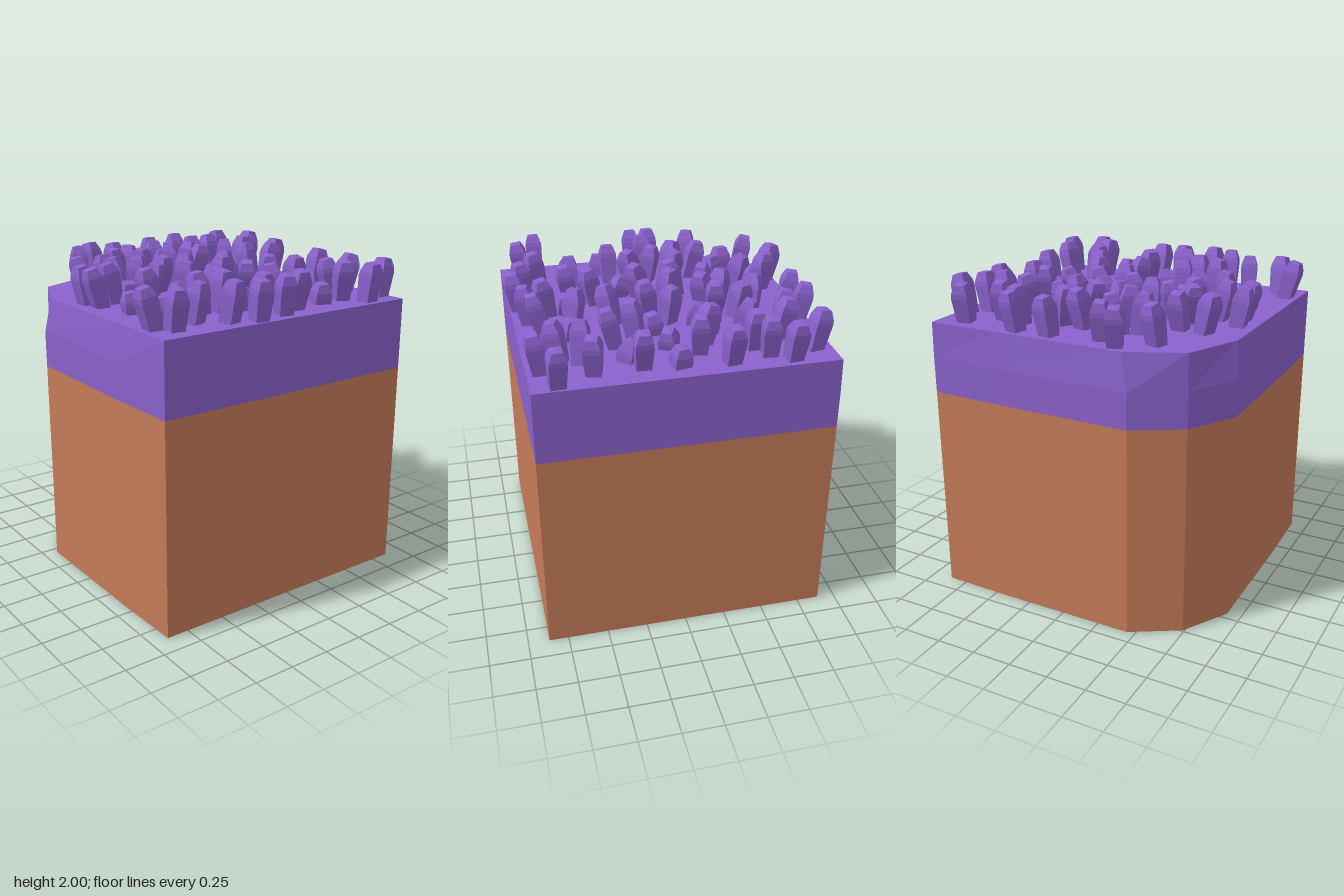
import * as THREE from 'three';

const soilMat = new THREE.MeshStandardMaterial({ color: 0xc47a58 });
soilMat.name = 'terracotta soil';
const purpleMat = new THREE.MeshStandardMaterial({ color: 0x8a62cc });
purpleMat.name = 'crystal purple';

// Block outline as [x, z]; one back corner is rounded off
const OUTLINE = [[-0.89, 0.87], [0.87, 0.87], [0.87, -0.89], [0.42, -0.905],
  [-0.45, -0.91], [-0.74, -0.74], [-0.91, -0.45], [-0.905, 0.42]];
// Slightly drawn-in outline of the top surface
const RIM = [[-0.89, 0.87], [0.87, 0.87], [0.87, -0.885], [0.42, -0.885],
  [-0.4, -0.885], [-0.735, -0.735], [-0.885, -0.4], [-0.885, 0.42]];

// Footprint centres of the crystals as x, z pairs
const SPOTS = [
  -0.34, -0.84, -0.51, -0.71, -0.21, -0.76, -0.21, -0.59, 0.11, -0.82, 0.33, -0.83, 0.69, -0.8, 0.38, -0.69,
  0.51, -0.66, 0.82, -0.62, 0.01, -0.61, 0.13, -0.58, 0.2, -0.48, -0.35, -0.52, -0.69, -0.37, -0.51, -0.38,
  -0.21, -0.42, -0.12, -0.33, 0.02, -0.4, 0.02, -0.29, 0.18, -0.33, 0.47, -0.43, 0.63, -0.44, 0.73, -0.5,
  0.78, -0.27, 0.21, -0.2, 0.37, -0.23, 0.49, -0.2, 0.62, -0.12, -0.52, -0.22, -0.38, -0.2, -0.23, -0.16,
  -0.8, -0.13, -0.79, -0.01, -0.66, -0.06, -0.55, -0.03, -0.48, -0.07, -0.09, -0.1, 0.18, -0.05, -0.22, 0.07,
  -0.44, 0.07, 0.07, 0.07, 0.29, 0.07, 0.5, 0.03, 0.73, 0.02, -0.69, 0.24, -0.55, 0.19, -0.3, 0.17,
  0.34, 0.21, 0.6, 0.29, 0.73, 0.23, 0.09, 0.31, -0.5, 0.36, -0.2, 0.37, 0.42, 0.36, -0.63, 0.46,
  -0.39, 0.47, -0.25, 0.51, -0.11, 0.53, 0.12, 0.52, 0.25, 0.57, 0.54, 0.55, 0.74, 0.51, -0.84, 0.64,
  -0.54, 0.67, -0.73, 0.75, -0.09, 0.67, 0.37, 0.67, 0.53, 0.69, 0.83, 0.72, 0.64, 0.81, 0.13, 0.74,
  -0.01, 0.79, -0.37, 0.77, -0.22, 0.83];

function seeded(seed) {
  return () => (seed = (seed * 16807) % 2147483647) / 2147483647;
}

// Flat-faced slab between two outlines, capped at both ends
function slab(name, low, high, y0, y1, material) {
  const lo = low.map(([x, z]) => [x, y0, z]);
  const hi = high.map(([x, z]) => [x, y1, z]);
  const pos = [];
  const n = lo.length;
  for (let i = 0; i < n; i++) {
    const j = (i + 1) % n;
    pos.push(...lo[i], ...lo[j], ...hi[j], ...lo[i], ...hi[j], ...hi[i]);
    if (i > 0 && j > 0) {
      pos.push(...hi[0], ...hi[i], ...hi[j], ...lo[0], ...lo[j], ...lo[i]);
    }
  }
  const geo = new THREE.BufferGeometry();
  geo.setAttribute('position', new THREE.Float32BufferAttribute(pos, 3));
  geo.computeVertexNormals();
  const mesh = new THREE.Mesh(geo, material);
  mesh.name = name;
  return mesh;
}

// Four-sided crystal, wider near the top, with a bevelled tip
function crystalGeometry() {
  const profile = [[0.056, -0.05], [0.073, 0.17], [0.069, 0.2], [0.045, 0.25], [0, 0.256]];
  const geo = new THREE.LatheGeometry(profile.map(([r, y]) => new THREE.Vector2(r, y)), 4)
    .rotateY(Math.PI / 4).toNonIndexed();
  geo.computeVertexNormals();
  return geo;
}

export function createModel() {
  const model = new THREE.Group();
  model.name = 'crystalBlock';

  model.add(
    slab('soil', OUTLINE, OUTLINE, 0, 1.31, soilMat),
    slab('lowerCrust', OUTLINE, OUTLINE, 1.31, 1.53, purpleMat),
    slab('upperCrust', OUTLINE, RIM, 1.53, 1.75, purpleMat)
  );

  // Crystals: lean outwards near the edges, every which way in the middle
  const crystals = new THREE.Group();
  crystals.name = 'crystals';
  const geo = crystalGeometry();
  const rand = seeded(4711);
  const box = new THREE.Box3();
  for (let i = 0; i < SPOTS.length; i += 2) {
    const x = SPOTS[i], z = SPOTS[i + 1];
    const edge = Math.max(Math.abs(x), Math.abs(z)) > 0.6;
    const outward = Math.abs(x) > Math.abs(z) ? (x > 0 ? 0 : Math.PI) : (z > 0 ? 1 : -1) * Math.PI / 2;
    const dir = outward + (rand() - 0.5) * (edge ? 0.8 : 5);
    const lean = 0.14 + rand() * 0.14;
    const tip = rand() < 0.2 ? 1.88 : 2 - rand() * 0.012;

    const crystal = new THREE.Mesh(geo, purpleMat);
    crystal.name = 'crystal';
    crystal.rotation.set(0, -dir, -lean, 'YXZ');
    const shift = 0.14 * Math.sin(lean);
    crystal.position.set(x - Math.cos(dir) * shift, 1.75, z - Math.sin(dir) * shift);
    // Sink or raise the crystal so its tip meets the wanted height
    box.setFromObject(crystal, true);
    crystal.position.y += tip - box.max.y;
    crystals.add(crystal);
  }
  model.add(crystals);
  return model;
}
